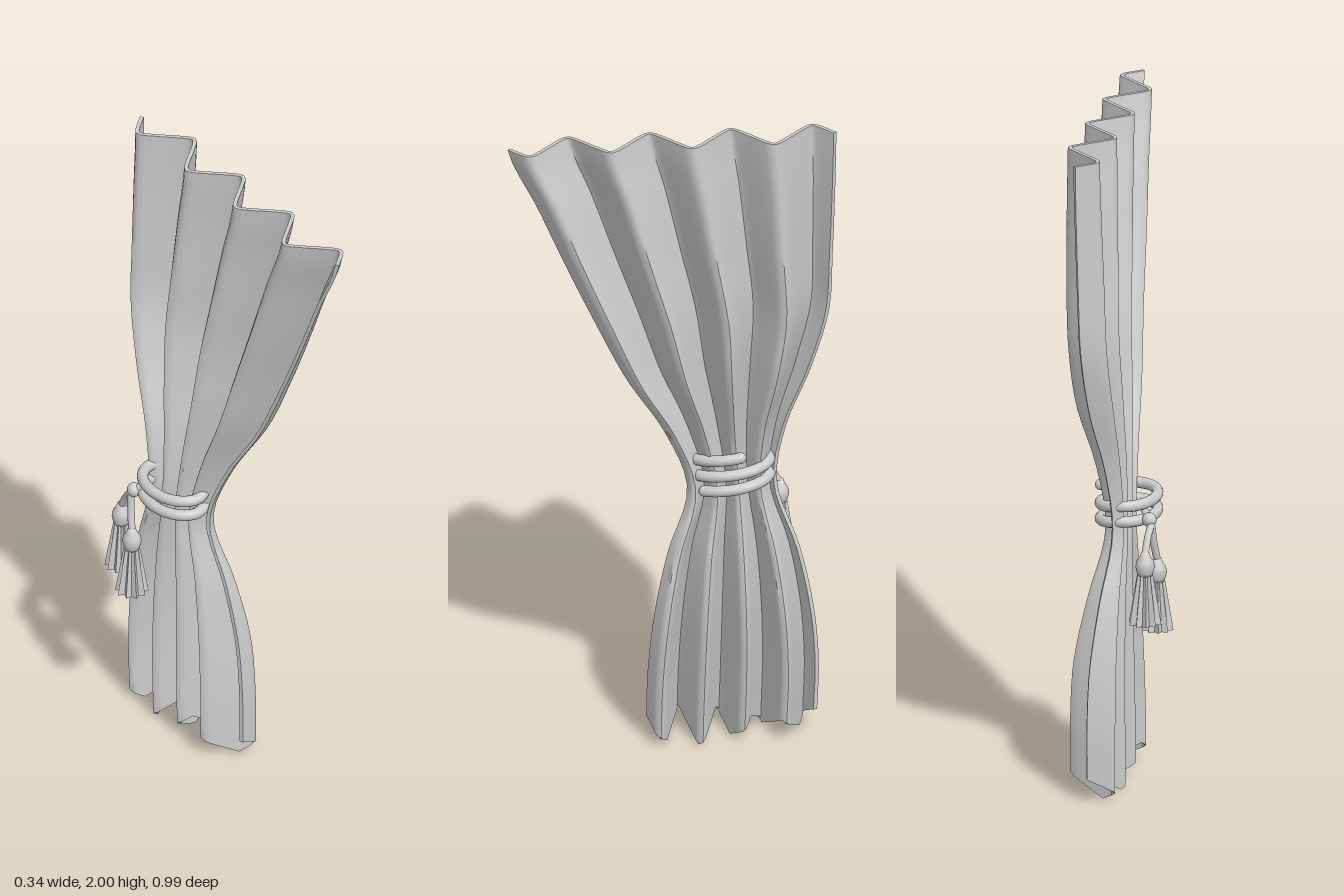
import * as THREE from 'three';
import { toCreasedNormals } from 'three/addons/utils/BufferGeometryUtils.js';

const grey = new THREE.MeshStandardMaterial({ color: 0xcccccc });
grey.name = 'light grey cloth';

function add(parent, name, geometry) {
  const mesh = new THREE.Mesh(geometry, grey);
  mesh.name = name;
  parent.add(mesh);
  return mesh;
}

// Outline values at equal height steps from hem to top
function profile(values) {
  const spline = new THREE.SplineCurve(values.map((v, i) => new THREE.Vector2(i, v)));
  return t => spline.getPoint(t).y;
}
const zFront = profile([0.07, 0.065, 0.045, 0.005, -0.055, 0.012, 0.13, 0.225, 0.315, 0.4, 0.49]);
const zBack = profile([-0.43, -0.435, -0.42, -0.38, -0.315, -0.34, -0.41, -0.465, -0.476, -0.483, -0.487]);
const xMin = profile([-0.028, -0.026, -0.022, -0.018, -0.015, -0.008, 0.002, 0.015, 0.025, 0.036, 0.046]);
const xMax = profile([0.115, 0.118, 0.112, 0.078, 0.037, 0.066, 0.122, 0.143, 0.152, 0.157, 0.16]);

// Four folds; u runs from the front edge to the back edge, t from hem to top
function clothPoint(u, t) {
  const wave = 0.5 + 0.5 * Math.asin(0.95 * Math.cos(8 * Math.PI * (u - 0.06))) / Math.asin(0.95);
  const x = THREE.MathUtils.lerp(xMin(t), xMax(t), wave) - 0.035 * u * t;
  const z = THREE.MathUtils.lerp(zFront(t), zBack(t), u);
  const scallop = 0.07 * Math.abs(1 - 2 * ((u * 5) % 1));
  return new THREE.Vector3(x, 2 * t + scallop * Math.pow(1 - t, 8), z);
}

// Thick pleated sheet built from closed cross-sections
function clothGeometry() {
  const cols = 80, rows = 44, half = 0.006, ring = 2 * (cols + 1);
  const positions = [], index = [];
  for (let i = 0; i <= rows; i++) {
    const t = i / rows, outer = [], inner = [];
    for (let j = 0; j <= cols; j++) {
      const u = j / cols, p = clothPoint(u, t);
      const d = clothPoint(u + 0.004, t).sub(clothPoint(u - 0.004, t));
      const n = new THREE.Vector3(-d.z, 0, d.x).normalize().multiplyScalar(half);
      outer.push(p.clone().add(n));
      inner.unshift(p.clone().sub(n));
    }
    for (const p of [...outer, ...inner]) positions.push(p.x, p.y, p.z);
  }
  for (let i = 0; i < rows; i++) {
    for (let j = 0; j < ring; j++) {
      const a = i * ring + j, b = i * ring + (j + 1) % ring;
      index.push(a, b, a + ring, b, b + ring, a + ring);
    }
  }
  // Top and hem rims
  for (let j = 0; j < cols; j++) {
    const a = j, b = j + 1, c = ring - 1 - j, d = c - 1, top = rows * ring;
    index.push(top + a, top + b, top + c, top + b, top + d, top + c);
    index.push(a, c, b, b, c, d);
  }
  const g = new THREE.BufferGeometry();
  g.setAttribute('position', new THREE.Float32BufferAttribute(positions, 3));
  g.setIndex(index);
  return toCreasedNormals(g, 1);
}

// Round cord along a smooth path, with rounded ends
function cord(parent, name, points, radius, segments) {
  const curve = new THREE.CatmullRomCurve3(points);
  add(parent, name, new THREE.TubeGeometry(curve, segments, radius, 12));
  for (const p of [points[0], points[points.length - 1]]) {
    add(parent, name + 'End', new THREE.SphereGeometry(radius, 12, 8)).position.copy(p);
  }
}

// Tassel hanging down from its origin: round head and pleated skirt
function tassel() {
  const group = new THREE.Group();
  group.name = 'tassel';
  const head = [[0, 0], [0.012, -0.002], [0.016, -0.015], [0.026, -0.03], [0.029, -0.048],
    [0.024, -0.066], [0.02, -0.076], [0, -0.078]];
  add(group, 'tasselHead', new THREE.LatheGeometry(head.map(p => new THREE.Vector2(...p)).reverse(), 20));
  const skirt = new THREE.CylinderGeometry(0.024, 0.05, 0.155, 20, 1);
  const pos = skirt.attributes.position;
  for (let i = 0; i < pos.count; i++) {
    const x = pos.getX(i), z = pos.getZ(i);
    const odd = Math.abs(Math.round(Math.atan2(z, x) / (Math.PI / 10))) % 2;
    if (odd) pos.setXYZ(i, x * 0.7, pos.getY(i), z * 0.7);
  }
  add(group, 'tasselSkirt', toCreasedNormals(skirt, 0.4)).position.y = -0.147;
  return group;
}

export function createModel() {
  const model = new THREE.Group();
  model.name = 'tiedCurtain';
  add(model, 'curtain', clothGeometry());

  // Rope wound twice round the waist, sloping on the outer side only
  const tie = new THREE.Group();
  tie.name = 'tieback';
  model.add(tie);
  const keys = [[-0.2, 0.922], [Math.PI / 2, 0.893], [1.5 * Math.PI, 0.888],
    [2.5 * Math.PI, 0.843], [3.5 * Math.PI, 0.84], [4 * Math.PI + 0.8, 0.805]];
  const wraps = [];
  for (let k = 0; k < keys.length - 1; k++) {
    const last = k === keys.length - 2;
    for (let s = 0; s < 8 + (last ? 1 : 0); s++) {
      const a = THREE.MathUtils.lerp(keys[k][0], keys[k + 1][0], s / 8);
      const y = THREE.MathUtils.lerp(keys[k][1], keys[k + 1][1], s / 8);
      wraps.push(new THREE.Vector3(-0.02 + 0.083 * Math.cos(a), y, -0.183 + 0.117 * Math.sin(a)));
    }
  }
  cord(tie, 'waistRope', wraps, 0.017, 160);

  // Two tassels on short cords
  for (const [x, y, z] of [[-0.125, 0.725, -0.255], [-0.108, 0.765, -0.335]]) {
    cord(tie, 'tasselCord', [
      new THREE.Vector3(-0.085, 0.865, -0.25),
      new THREE.Vector3(-0.11, 0.84, -0.275),
      new THREE.Vector3((x - 0.11) / 2, (y + 0.83) / 2, (z - 0.285) / 2),
      new THREE.Vector3(x, y - 0.01, z)
    ], 0.011, 24);
    const t = tassel();
    t.position.set(x, y, z);
    tie.add(t);
  }
  add(tie, 'knot', new THREE.SphereGeometry(0.022, 16, 12)).position.set(-0.105, 0.845, -0.272);
  return model;
}
